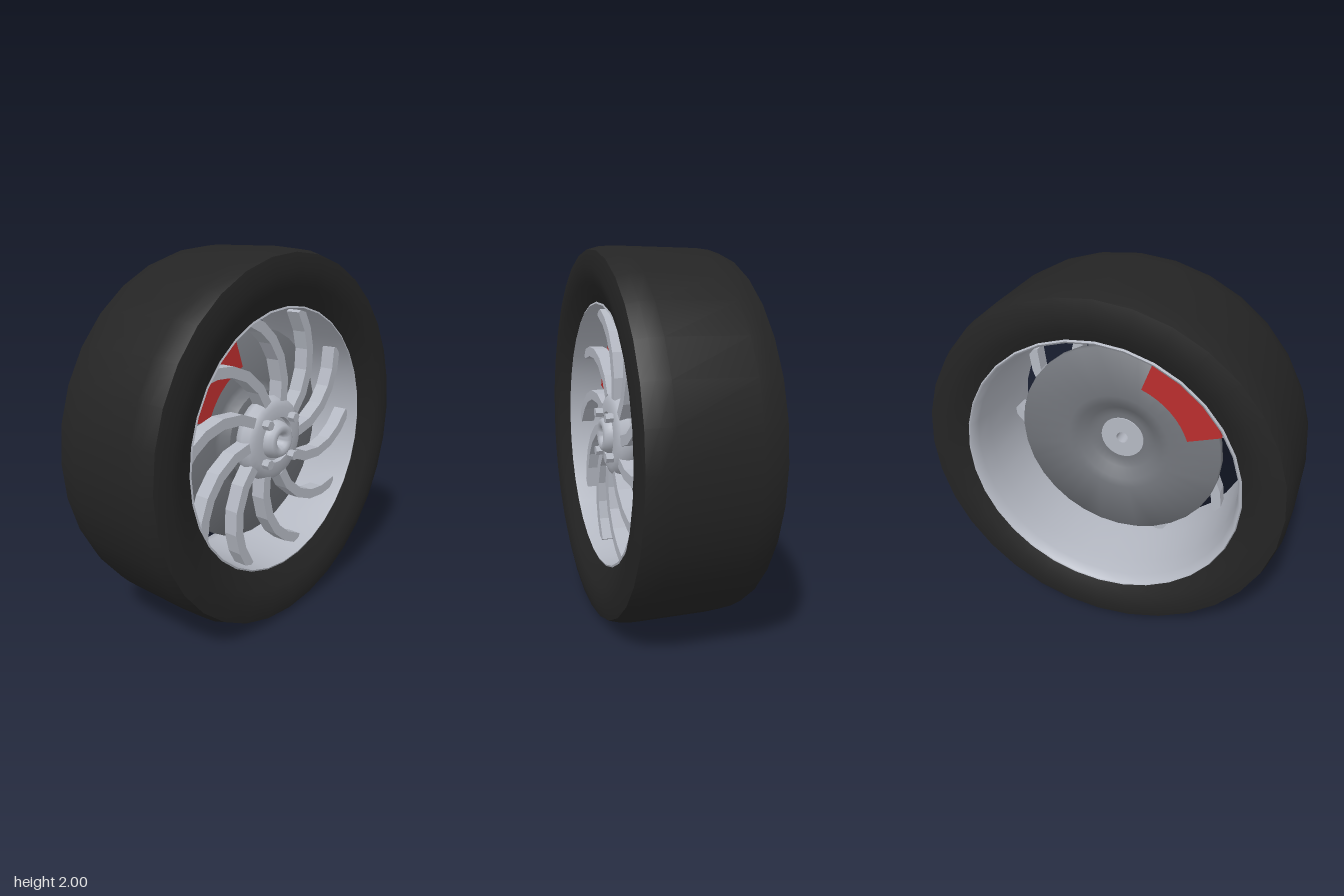
import * as THREE from 'three';
import { toCreasedNormals } from 'three/addons/utils/BufferGeometryUtils.js';

const material = (name, color) => {
  const m = new THREE.MeshStandardMaterial({ color });
  m.name = name;
  return m;
};

export function createModel() {
  const rubber = material('black rubber', 0x242424);
  const silver = material('silver alloy', 0xb4b8c2);
  const steel = material('grey steel', 0x72757b);
  const red = material('caliper red', 0xba2d2d);

  // Built around the z axis, outer face towards +z, then turned to face +x
  const wheel = new THREE.Group();
  wheel.name = 'wheel';
  wheel.rotation.y = Math.PI / 2;
  wheel.position.y = 1;

  const add = (name, geometry, mat, parent = wheel) => {
    const mesh = new THREE.Mesh(geometry, mat);
    mesh.name = name;
    parent.add(mesh);
    return mesh;
  };
  const polar = (r, deg) => new THREE.Vector2(r, 0)
    .rotateAround(new THREE.Vector2(), THREE.MathUtils.degToRad(deg));

  // Closed ring from [radius, depth] points
  const ring = (points, crease) => {
    const profile = [...points, points[0]].map(([r, d]) => new THREE.Vector2(r, d));
    const g = new THREE.LatheGeometry(profile, 32).rotateX(Math.PI / 2);
    return crease ? toCreasedNormals(g, crease) : g;
  };
  const plate = (points, back, front) => new THREE.ExtrudeGeometry(new THREE.Shape(points),
    { depth: front - back, bevelEnabled: false }).translate(0, 0, back);

  add('tire', ring([
    [0.79, -0.25], [0.75, -0.3], [0.82, -0.335], [0.89, -0.35], [0.975, -0.33],
    [0.993, -0.27], [1, -0.2], [1, 0.2], [0.993, 0.27], [0.975, 0.33],
    [0.89, 0.35], [0.81, 0.33], [0.71, 0.28], [0.77, 0.22],
  ], 0.9), rubber);

  add('rim', ring([
    [0.762, -0.305], [0.755, -0.25], [0.72, 0.2], [0.713, 0.28], [0.702, 0.284],
    [0.7, 0.27], [0.702, 0.1], [0.715, -0.15], [0.73, -0.25], [0.745, -0.31], [0.755, -0.315],
  ], 0.9), silver);

  // Hub with a raised, drilled centre
  add('hub', ring([
    [0.034, 0.07], [0.125, 0.07], [0.13, 0.11], [0.2, 0.115], [0.225, 0.13],
    [0.232, 0.17], [0.218, 0.21], [0.18, 0.228], [0.125, 0.23], [0.12, 0.205],
    [0.105, 0.205], [0.1, 0.235], [0.085, 0.262], [0.065, 0.27], [0.045, 0.26], [0.034, 0.24],
  ], 0.9), silver);

  // Four hexagonal wheel bolts
  const boltGeometry = toCreasedNormals(
    new THREE.CylinderGeometry(0.027, 0.027, 0.07, 6).rotateX(Math.PI / 2).rotateZ(Math.PI / 6), 0.5);
  for (let i = 0; i < 4; i++) {
    const p = polar(0.152, 45 + i * 90);
    add('bolt', boltGeometry, silver).position.set(p.x, p.y, 0.235);
  }

  // Ten swept spokes, each a strip of constant width along a curved path
  const path = [[0.21, 0], [0.32, 5], [0.44, 13], [0.54, 21], [0.62, 28.5], [0.702, 37]]
    .map(([r, a]) => polar(r, a));
  const side = (s) => path.map((p, i) => {
    const t = path[Math.min(i + 1, path.length - 1)].clone().sub(path[Math.max(i - 1, 0)]).normalize();
    return new THREE.Vector2(p.x - t.y * s, p.y + t.x * s);
  });
  const spokeGeometry = plate([...side(-0.028), ...side(0.028).reverse()], 0.135, 0.215);
  const spokes = new THREE.Group();
  spokes.name = 'spokes';
  wheel.add(spokes);
  for (let i = 0; i < 10; i++) {
    add('spoke', spokeGeometry, silver, spokes).rotation.z = i * Math.PI / 5;
  }

  // Brake disc with a raised hat
  add('brakeDisc', ring([
    [0.12, 0.075], [0.15, 0.075], [0.2, 0.06], [0.25, 0.012], [0.3, 0.005],
    [0.58, 0.005], [0.584, 0.01], [0.584, 0.045], [0.58, 0.05], [0.3, 0.05],
    [0.272, 0.06], [0.25, 0.11], [0.2, 0.12], [0.12, 0.12],
  ], 0.9), steel);

  // Caliper straddling the upper edge of the disc
  const arc = (r) => Array.from({ length: 9 }, (_, i) => polar(r, 110 + i * 6.3));
  add('caliper', plate([...arc(0.62), ...arc(0.43).reverse()], -0.055, 0.11), red);

  const model = new THREE.Group();
  model.name = 'wheelAssembly';
  model.add(wheel);
  return model;
}
